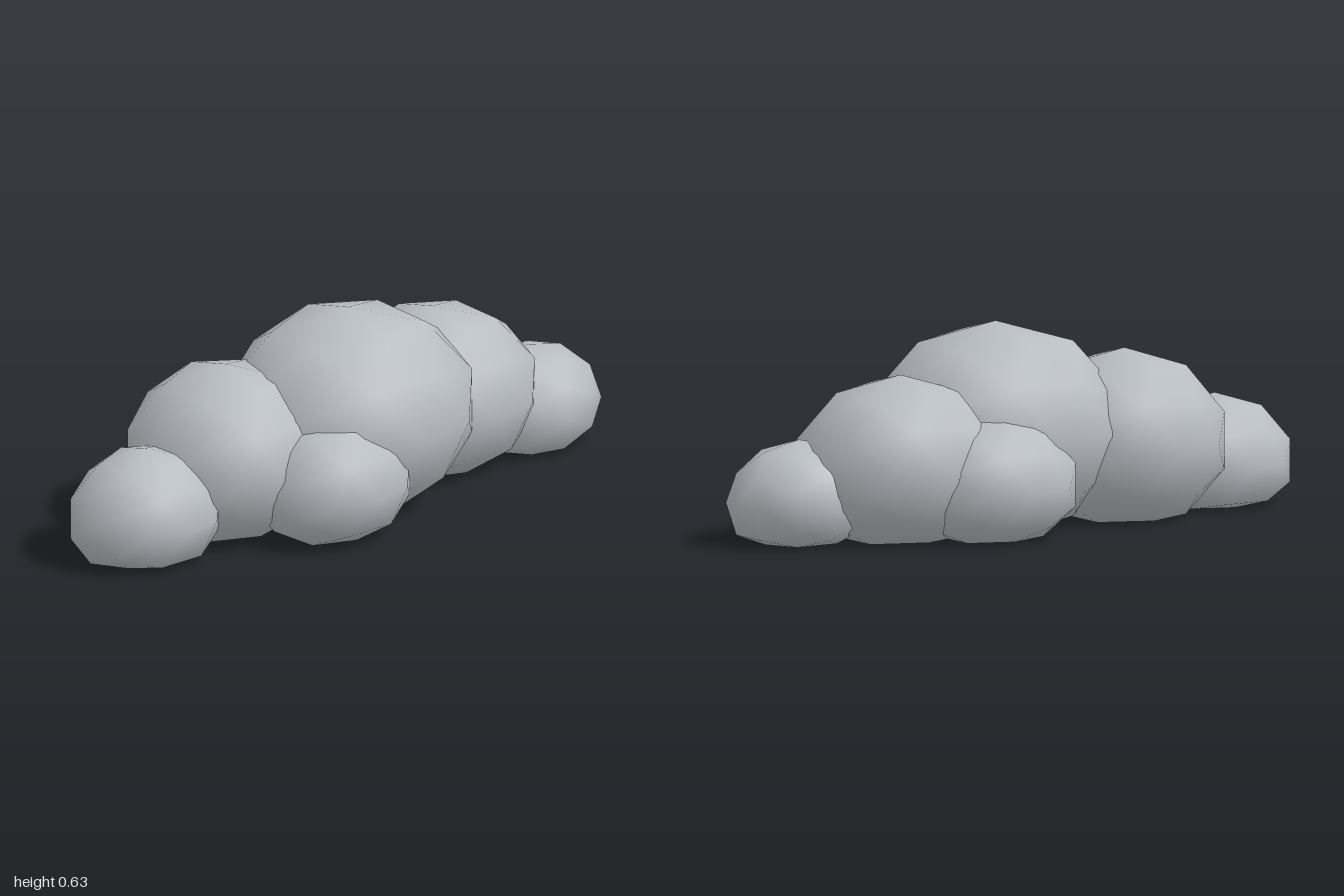
import * as THREE from 'three';
import { mergeVertices } from 'three/addons/utils/BufferGeometryUtils.js';

// One low-poly, smooth-shaded puff: a stretched icosphere flattened where it meets the ground
function puffGeometry([cx, cy, cz], [rx, ry, rz], turn) {
  let geo = new THREE.IcosahedronGeometry(1, 1);
  geo.deleteAttribute('uv');
  geo.deleteAttribute('normal');
  geo = mergeVertices(geo, 1e-4);
  geo.rotateY(turn);
  geo.scale(rx, ry, rz);
  geo.translate(cx, cy, cz);
  const pos = geo.attributes.position;
  for (let i = 0; i < pos.count; i++) pos.setY(i, Math.max(0, pos.getY(i)));
  geo.computeVertexNormals();
  return geo;
}

export function createModel() {
  const cloud = new THREE.Group();
  cloud.name = 'cloud';
  const cloudGrey = new THREE.MeshStandardMaterial({ color: 0xb8bdc2 });
  cloudGrey.name = 'cloudGrey';

  // name, centre, radii, turn about the vertical
  const quarter = Math.PI / 2;
  const puffs = [
    ['centrePuff', [0.035, 0.29, 0.042], [0.42, 0.338, 0.373], quarter],
    ['leftMiddlePuff', [0.44, 0.22, -0.042], [0.345, 0.283, 0.311], quarter],
    ['rightMiddlePuff', [-0.385, 0.23, -0.04], [0.325, 0.29, 0.32], quarter],
    ['leftEndPuff', [0.762, 0.125, 0.035], [0.237, 0.193, 0.2], 0],
    ['rightEndPuff', [-0.745, 0.13, 0.003], [0.255, 0.215, 0.22], quarter],
    ['frontPuff', [-0.178, 0.165, 0.215], [0.267, 0.222, 0.238], quarter],
    ['backPuff', [0.21, 0.16, -0.205], [0.28, 0.22, 0.25], quarter],
  ];
  for (const [name, centre, radii, turn] of puffs) {
    const puff = new THREE.Mesh(puffGeometry(centre, radii, turn), cloudGrey);
    puff.name = name;
    cloud.add(puff);
  }
  return cloud;
}
